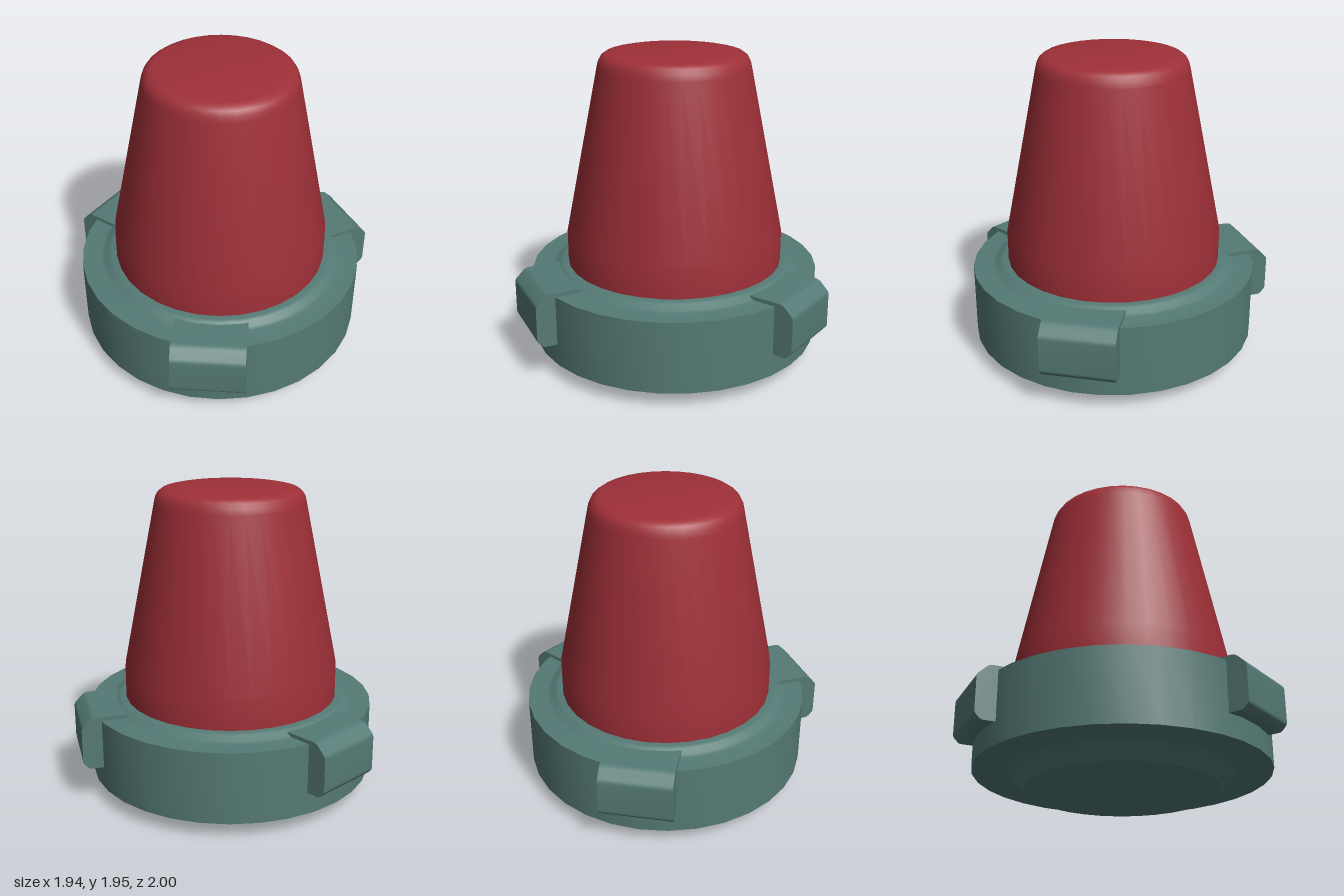
import * as THREE from 'three';
import { toCreasedNormals } from 'three/addons/utils/BufferGeometryUtils.js';

const SIDES = 32;
const AXIS_X = 0.045; // the round body sits slightly off centre because of the lugs

// Revolve a bottom-to-top profile of [radius, height] pairs, with a vertex on the x axis
function lathe(points, crease) {
  const geo = new THREE.LatheGeometry(points.map(([r, y]) => new THREE.Vector2(r, y)), SIDES);
  return toCreasedNormals(geo, crease);
}

// Side profile of a lug: chamfered outer corners with small rounded edges
function lugGeometry() {
  const s = new THREE.Shape();
  s.moveTo(0.70, 0.24);
  s.lineTo(0.965, 0.24);
  s.quadraticCurveTo(0.98, 0.24, 0.99, 0.25);
  s.lineTo(1.01, 0.27);
  s.quadraticCurveTo(1.02, 0.28, 1.02, 0.295);
  s.lineTo(1.02, 0.495);
  s.quadraticCurveTo(1.02, 0.515, 1.007, 0.527);
  s.lineTo(0.963, 0.57);
  s.quadraticCurveTo(0.945, 0.585, 0.925, 0.585);
  s.lineTo(0.70, 0.585);
  s.closePath();
  const geo = new THREE.ExtrudeGeometry(s, { depth: 0.46, bevelEnabled: false, curveSegments: 4 });
  geo.translate(0, 0, -0.23);
  return toCreasedNormals(geo, 0.35);
}

export function createModel() {
  const model = new THREE.Group();
  model.name = 'beacon';
  const red = new THREE.MeshStandardMaterial({ name: 'red lens', color: 0x9f3038 });
  const teal = new THREE.MeshStandardMaterial({ name: 'grey green housing', color: 0x557a75 });

  const body = new THREE.Group();
  body.name = 'body';
  body.position.x = AXIS_X;
  model.add(body);

  const add = (name, geo, mat) => {
    const mesh = new THREE.Mesh(geo, mat);
    mesh.name = name;
    body.add(mesh);
    return mesh;
  };

  // Housing: foot taper, wide drum and raised collar
  add('housing', lathe([
    [0.605, 0], [0.69, 0.088], [0.715, 0.1], [0.925, 0.1],
    [0.925, 0.56], [0.80, 0.56], [0.778, 0.566], [0.748, 0.594], [0.73, 0.6], [0.66, 0.6],
  ], 0.9), teal);

  // Underside
  const underside = add('underside', new THREE.CircleGeometry(0.605, SIDES), teal);
  underside.rotation.x = Math.PI / 2;

  // Lens: short straight skirt, long taper and rounded top edge
  add('lens', lathe([
    [0.695, 0.58], [0.695, 0.8], [0.48, 1.86], [0.472, 1.895],
    [0.455, 1.925], [0.43, 1.943], [0.40, 1.95], [0, 1.95],
  ], 0.6), red);

  // Three lugs evenly spaced around the drum
  const lug = lugGeometry();
  ['leftFrontLug', 'leftBackLug', 'rightLug'].forEach((name, i) => {
    add(name, lug, teal).rotation.y = [-1, 1, 3][i] * Math.PI / 3;
  });

  return model;
}
